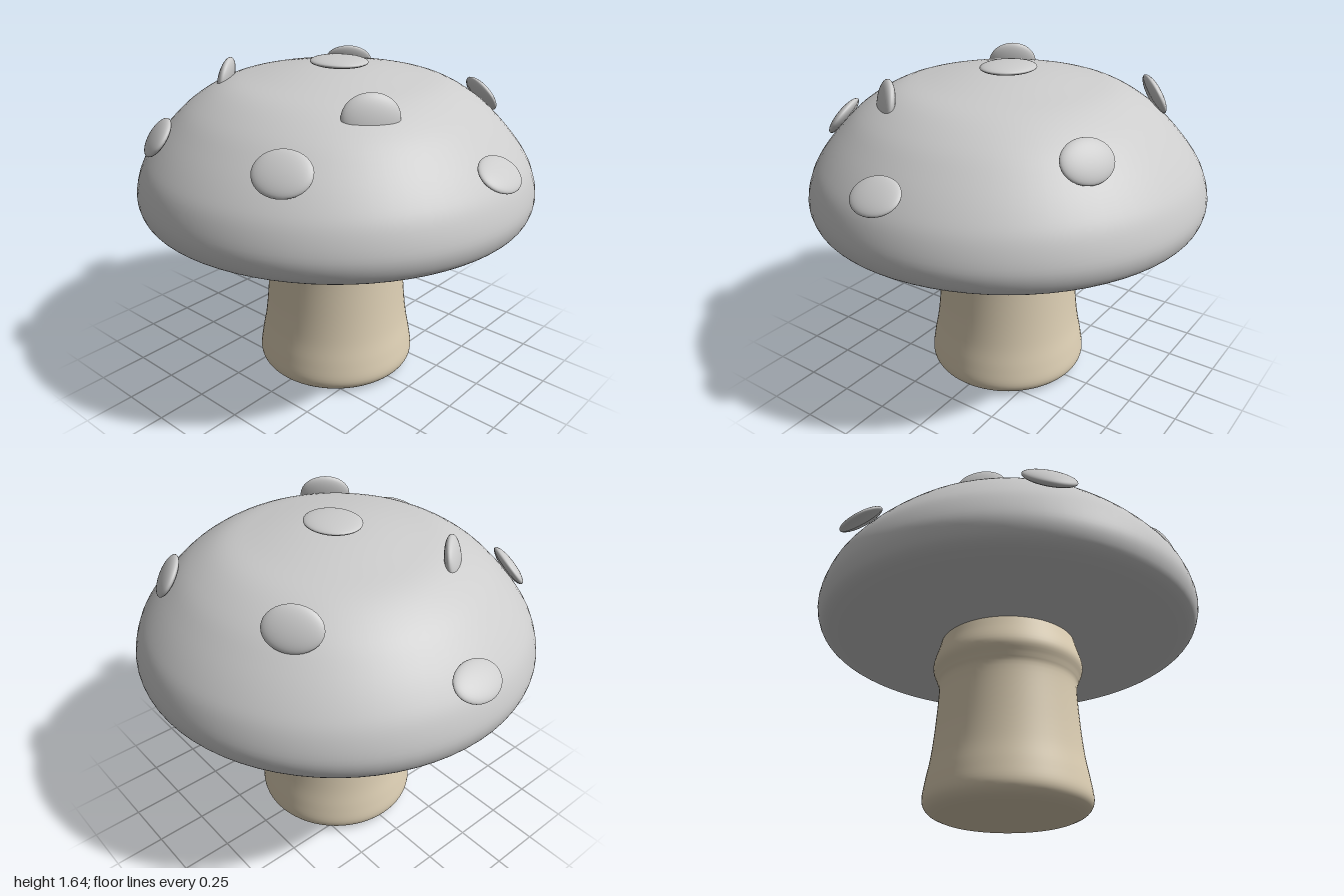
import * as THREE from 'three';

const capMaterial = new THREE.MeshStandardMaterial({ color: 0xcccccc });
capMaterial.name = 'capGrey';
const stemMaterial = new THREE.MeshStandardMaterial({ color: 0xddcfb4 });
stemMaterial.name = 'stemCream';

// Smooth solid of revolution; the flat base keeps its own points close to the rim
function turned(name, base, side, material) {
  const curve = new THREE.SplineCurve(side.map(([r, y]) => new THREE.Vector2(r, y)));
  const points = [...base.map(([r, y]) => new THREE.Vector2(r, y)), ...curve.getPoints(48)];
  const mesh = new THREE.Mesh(new THREE.LatheGeometry(points, 72), material);
  mesh.name = name;
  return mesh;
}

// Flattened button: half width a across, half height b up the slope, half thickness t
function spot(name, position, normal, a, b, t) {
  const n = new THREE.Vector3(...normal).normalize();
  const u = new THREE.Vector3(0, 1, 0).cross(n);
  if (u.lengthSq() < 1e-6) u.set(1, 0, 0);
  u.normalize();
  const v = new THREE.Vector3().crossVectors(u, n);
  const mesh = new THREE.Mesh(new THREE.SphereGeometry(1, 32, 20), capMaterial);
  mesh.name = name;
  mesh.quaternion.setFromRotationMatrix(new THREE.Matrix4().makeBasis(u, n, v));
  mesh.scale.set(a, t, b);
  mesh.position.set(...position);
  return mesh;
}

export function createModel() {
  const model = new THREE.Group();
  model.name = 'mushroom';

  // Stem with a swollen foot and a ring below the cap
  model.add(turned('stem', [[0, 0.01], [0.3, 0.01]], [
    [0.34, 0.012], [0.385, 0.035], [0.408, 0.08], [0.397, 0.17], [0.375, 0.29],
    [0.358, 0.45], [0.347, 0.64], [0.36, 0.7], [0.38, 0.765], [0.355, 0.86], [0.335, 0.93],
  ], stemMaterial));

  // Domed cap with a flat underside
  model.add(turned('cap', [[0, 0.9], [0.8, 0.9]], [
    [0.86, 0.904], [0.92, 0.92], [0.96, 0.96], [0.975, 1.04], [0.945, 1.15], [0.89, 1.24],
    [0.8, 1.345], [0.69, 1.445], [0.54, 1.53], [0.37, 1.57], [0.18, 1.598], [0, 1.608],
  ], capMaterial));

  // Spots: name, position, facing, half width, half height, half thickness
  const spots = [
    ['topSpot', [0.01, 1.622, -0.01], [0, 1, 0], 0.147, 0.13, 0.024],
    ['frontRightSpot', [-0.445, 1.325, 0.73], [-0.4, 0.62, 0.68], 0.13, 0.1, 0.03],
    ['frontLeftSpot', [0.37, 1.345, 0.74], [0.35, 0.62, 0.7], 0.13, 0.105, 0.03],
    ['sideRightSpot', [-0.92, 1.262, -0.03], [-0.58, 0.8, 0], 0.128, 0.095, 0.026],
    ['sideLeftSpot', [0.917, 1.275, 0.01], [0.6, 0.8, 0], 0.126, 0.098, 0.026],
    ['upperRightSpot', [-0.46, 1.52, 0.29], [-0.78, 0.22, 0.58], 0.125, 0.105, 0.035],
    ['upperLeftSpot', [0.485, 1.505, 0.335], [0.78, 0.22, 0.6], 0.128, 0.105, 0.035],
    ['backRightSpot', [-0.41, 1.485, -0.57], [-0.58, 0.45, -0.68], 0.13, 0.1, 0.03],
    ['backLeftSpot', [0.405, 1.41, -0.665], [0.42, 0.55, -0.72], 0.125, 0.1, 0.03],
  ];
  for (const s of spots) model.add(spot(...s));

  return model;
}
